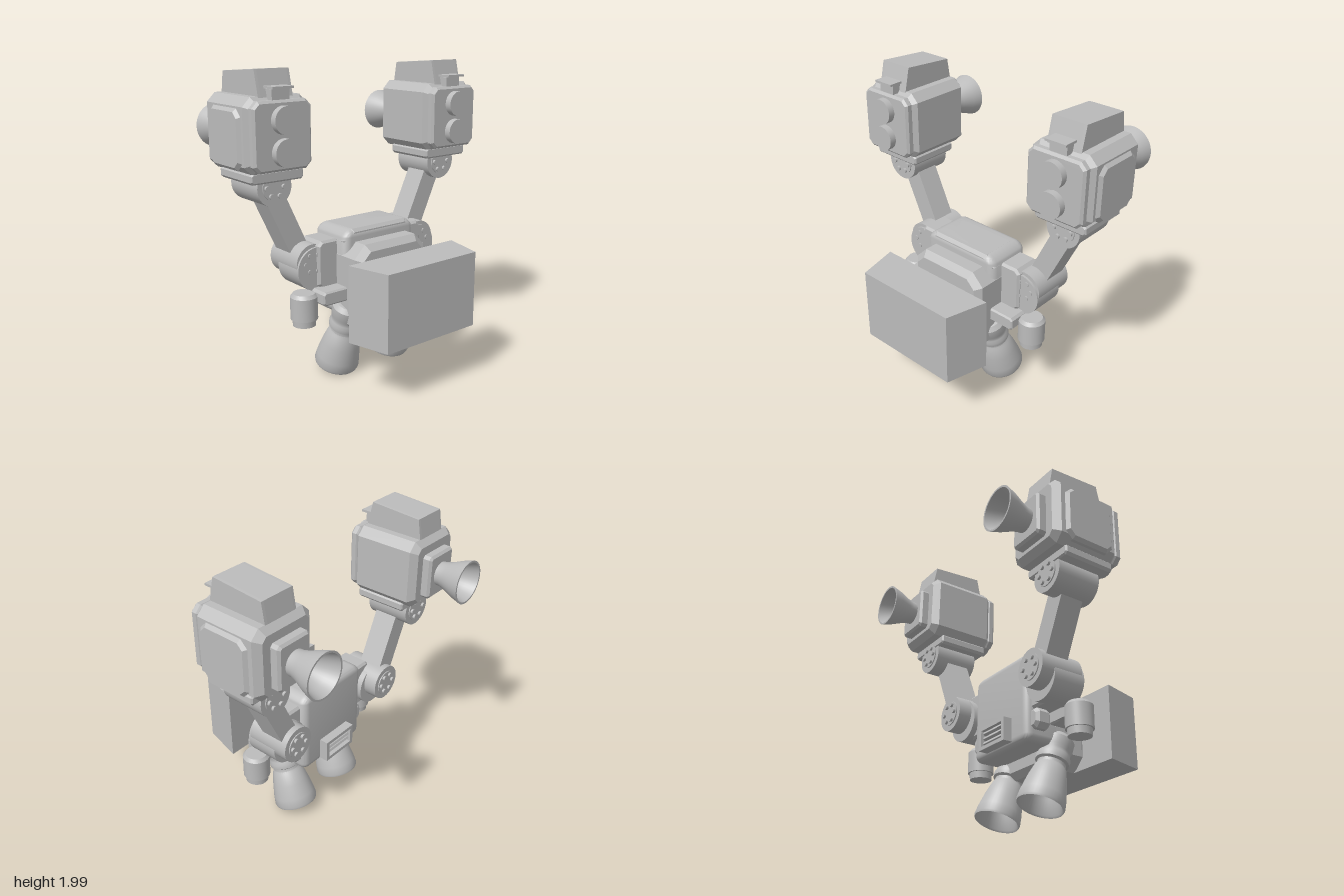
import * as THREE from 'three';
import { toCreasedNormals } from 'three/addons/utils/BufferGeometryUtils.js';
import { RoundedBoxGeometry } from 'three/addons/geometries/RoundedBoxGeometry.js';

const grey = new THREE.MeshStandardMaterial({ color: 0xbcbcbc, side: THREE.DoubleSide });
grey.name = 'plain grey';

function add(parent, name, geometry, x = 0, y = 0, z = 0) {
  const mesh = new THREE.Mesh(geometry, grey);
  mesh.name = name;
  mesh.position.set(x, y, z);
  parent.add(mesh);
  return mesh;
}

const box = (w, h, d) => new THREE.BoxGeometry(w, h, d);
const polygon = (points) => new THREE.Shape(points.map(([x, y]) => new THREE.Vector2(x, y)));

// Box with cut corners (cut) across x/y and bevelled front and back edges
function cutBox(w, h, d, cut, bevel) {
  const a = w / 2 - bevel, b = h / 2 - bevel;
  const shape = polygon([[a - cut, -b], [a, -b + cut], [a, b - cut], [a - cut, b],
    [-a + cut, b], [-a, b - cut], [-a, -b + cut], [-a + cut, -b]]);
  const g = new THREE.ExtrudeGeometry(shape, {
    depth: d - 2 * bevel, bevelEnabled: true, bevelThickness: bevel, bevelSize: bevel, bevelSegments: 1,
  });
  return g.translate(0, 0, -d / 2 + bevel);
}

// Turned part around y, from [radius, height] pairs
function turned(points, sides = 40) {
  return toCreasedNormals(
    new THREE.LatheGeometry(points.map(([r, y]) => new THREE.Vector2(r, y)), sides), 0.6);
}

// Cylinder lying along z between two depths
function rod(r, z0, z1, sides = 36) {
  return new THREE.CylinderGeometry(r, r, z1 - z0, sides).rotateX(Math.PI / 2).translate(0, 0, (z0 + z1) / 2);
}

// Hinge drum with a ring of bolts at both ends
function hinge(parent, name, x, y, z0, z1) {
  const group = new THREE.Group();
  group.name = name;
  group.position.set(x, y, 0);
  parent.add(group);
  add(group, 'drum', rod(0.12, z0, z1));
  add(group, 'hub', rod(0.085, z0 - 0.007, z1 + 0.007, 28));
  for (let i = 0; i < 6; i++) {
    const a = (i / 6) * Math.PI * 2;
    add(group, 'bolt', rod(0.016, z0 - 0.022, z1 + 0.022, 12), Math.cos(a) * 0.06, Math.sin(a) * 0.06);
  }
}

function buildTorso(root) {
  const torso = new THREE.Group();
  torso.name = 'torso';
  root.add(torso);
  add(torso, 'chest', cutBox(0.58, 0.61, 0.28, 0.06, 0.04), 0, 0.615, 0.16);
  // back pack, narrowed towards the top
  const pack = new RoundedBoxGeometry(0.58, 0.58, 0.33, 4, 0.05);
  const p = pack.attributes.position;
  for (let i = 0; i < p.count; i++) {
    const t = Math.max(0, (p.getY(i) - 0.235) / 0.055);
    p.setX(i, p.getX(i) * (1 - 0.1 * t));
  }
  add(torso, 'backPack', toCreasedNormals(pack, 0.7), 0, 0.71, 0.005);
  add(torso, 'topHatch', cutBox(0.56, 0.14, 0.27, 0.05, 0.02), 0, 0.93, 0.03);
  // vent with slats
  const frame = polygon([[-0.135, -0.075], [0.135, -0.075], [0.135, 0.075], [-0.135, 0.075]]);
  frame.holes.push(polygon([[-0.11, -0.052], [-0.11, 0.052], [0.11, 0.052], [0.11, -0.052]]));
  add(torso, 'ventFrame', new THREE.ExtrudeGeometry(frame, { depth: 0.07, bevelEnabled: false }), 0, 0.525, -0.22);
  for (let i = -1; i <= 1; i++) {
    add(torso, 'ventSlat', box(0.22, 0.016, 0.04), 0, 0.525 + i * 0.033, -0.185).rotation.x = 0.4;
  }
  // tapered block held in front
  const plan = polygon([[-0.43, -0.38], [-0.36, -0.66], [0.36, -0.66], [0.43, -0.38]]);
  const block = new THREE.ExtrudeGeometry(plan, { depth: 0.49, bevelEnabled: false }).rotateX(-Math.PI / 2);
  add(root, 'frontBlock', block, 0, 0.37, 0);
}

function buildHead(root, s) {
  const head = new THREE.Group();
  head.name = s > 0 ? 'leftHead' : 'rightHead';
  head.position.set(s * 0.69, 0, 0);
  root.add(head);
  add(head, 'collar', cutBox(0.37, 0.07, 0.355, 0.01, 0.01), 0, 1.38, -0.128);
  add(head, 'shell', cutBox(0.44, 0.45, 0.48, 0.03, 0.04), 0, 1.625, -0.16);
  add(head, 'facePlate', cutBox(0.4, 0.41, 0.06, 0.03, 0.015), 0, 1.625, 0.09);
  const panel = cutBox(0.35, 0.36, 0.06, 0.035, 0.02).rotateY(Math.PI / 2);
  add(head, 'sidePanel', panel, s * 0.21, 1.605, -0.155);
  for (const y of [1.53, 1.717]) add(head, 'lens', rod(0.083, 0.1, 0.165), 0, y, 0);
  // sloping block on top
  const side = polygon([[0.05, 1.83], [0.01, 2.0], [-0.34, 1.975], [-0.365, 1.83]]);
  const top = new THREE.ExtrudeGeometry(side, { depth: 0.2, bevelEnabled: true, bevelThickness: 0.018, bevelSize: 0.001, bevelSegments: 1 });
  add(head, 'topBlock', top.translate(0, 0, -0.1).rotateY(-Math.PI / 2));
  // small bracket above the face
  add(head, 'bracketFoot', box(0.12, 0.06, 0.07), 0, 1.86, 0.065);
  add(head, 'bracketTop', box(0.145, 0.014, 0.1), 0, 1.9, 0.08);
  // rear horn
  add(head, 'hornPlate', cutBox(0.25, 0.29, 0.08, 0.01, 0.015), 0, 1.61, -0.42);
  const horn = turned([[0.078, 0], [0.08, 0.03], [0.092, 0.07], [0.122, 0.14], [0.142, 0.205],
    [0.13, 0.205], [0.11, 0.14], [0.08, 0.07], [0.05, 0.03], [0, 0.03]]);
  add(head, 'horn', horn, 0, 1.61, -0.457).rotation.x = -Math.PI / 2;
}

function buildArm(root, s) {
  const arm = new THREE.Group();
  arm.name = s > 0 ? 'leftArm' : 'rightArm';
  root.add(arm);
  add(arm, 'shoulderBlock', cutBox(0.19, 0.31, 0.2, 0.02, 0.015), s * 0.335, 0.78, -0.02);
  add(arm, 'shoulderDrum', rod(0.14, -0.16, 0.06), s * 0.43, 0.76, 0);
  hinge(arm, 'shoulderHinge', s * 0.45, 0.8, -0.25, 0.045);
  const dx = 0.235, dy = 0.5;
  const beam = add(arm, 'beam', box(0.135, Math.hypot(dx, dy), 0.16), s * (0.45 + dx / 2), 0.8 + dy / 2, -0.13);
  beam.rotation.z = -s * Math.atan2(dx, dy);
  hinge(arm, 'wristHinge', s * 0.685, 1.305, -0.3, 0);
}

function buildThrusters(root, s) {
  const side = new THREE.Group();
  side.name = s > 0 ? 'leftThrusters' : 'rightThrusters';
  root.add(side);
  // small side pod on its bracket
  add(side, 'podBracket', cutBox(0.22, 0.09, 0.17, 0.01, 0.01), s * 0.36, 0.595, 0.1);
  add(side, 'podArm', box(0.16, 0.06, 0.1), s * 0.46, 0.58, 0.05);
  const pod = turned([[0, 0.41], [0.073, 0.41], [0.075, 0.455], [0.087, 0.455], [0.087, 0.6], [0.07, 0.622], [0, 0.622]]);
  add(side, 'pod', pod, s * 0.525, 0, 0.05);
  add(side, 'hipPanel', cutBox(0.1, 0.13, 0.11, 0.02, 0.02), s * 0.3, 0.56, -0.07);
  // main nozzle, leaning forward towards its neck
  const nozzle = turned([[0, 0.2], [0.07, 0.2], [0.105, 0.1], [0.132, 0.01], [0.143, 0], [0.148, 0.015],
    [0.142, 0.07], [0.123, 0.17], [0.1, 0.255], [0.09, 0.27], [0.09, 0.29], [0.105, 0.3],
    [0.108, 0.33], [0.1, 0.35], [0.098, 0.37], [0.106, 0.39], [0.106, 0.45], [0.085, 0.48], [0, 0.49]]);
  add(side, 'nozzle', nozzle, s * 0.225, 0.052, -0.018).rotation.x = 0.32;
}

export function createModel() {
  const root = new THREE.Group();
  root.name = 'robot';
  buildTorso(root);
  for (const s of [1, -1]) {
    buildHead(root, s);
    buildArm(root, s);
    buildThrusters(root, s);
  }
  return root;
}
